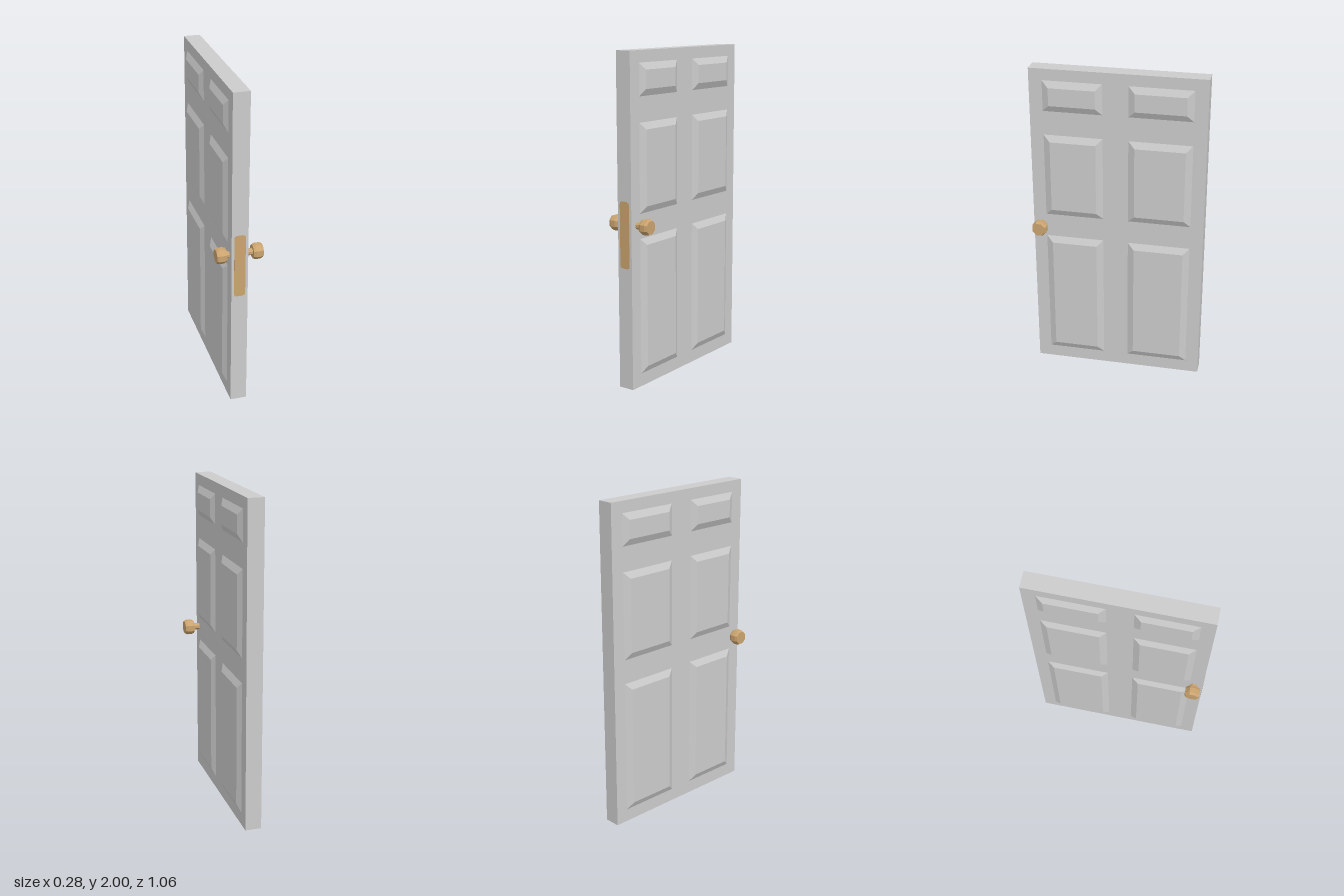
import * as THREE from 'three';

const SLAB = { x0: -0.06, x1: 0.04, height: 2, depth: 1.06 };
const KNOB_Y = 0.995, KNOB_Z = 0.475;

// Raised panel: a thin box whose outer face (towards side * x) is pulled in to form bevels
function panelGeometry(height, depth, side) {
  const thick = 0.02, bevel = 0.04;
  const geo = new THREE.BoxGeometry(thick, height, depth);
  const p = geo.attributes.position;
  for (let i = 0; i < p.count; i++) {
    if (p.getX(i) * side > 0) {
      p.setY(i, p.getY(i) - Math.sign(p.getY(i)) * bevel);
      p.setZ(i, p.getZ(i) - Math.sign(p.getZ(i)) * bevel);
    }
  }
  geo.computeVertexNormals();
  return geo;
}

// Eight-sided knob and stem turned about the x axis
function knobGeometry(side) {
  const profile = [
    [0.021, 0.03], [0.021, 0.08], [0.042, 0.08], [0.0485, 0.095],
    [0.0485, 0.125], [0.042, 0.14], [0, 0.14],
  ].map(([r, d]) => new THREE.Vector2(r, d));
  const geo = new THREE.LatheGeometry(profile, 8);
  geo.rotateY(Math.PI / 8);
  geo.rotateZ(-side * Math.PI / 2);
  return geo;
}

// Latch plate outline with rounded corners
function plateGeometry(w, h, r) {
  const s = new THREE.Shape();
  const x = w / 2, y = h / 2;
  s.moveTo(-x + r, -y);
  s.lineTo(x - r, -y);
  s.quadraticCurveTo(x, -y, x, -y + r);
  s.lineTo(x, y - r);
  s.quadraticCurveTo(x, y, x - r, y);
  s.lineTo(-x + r, y);
  s.quadraticCurveTo(-x, y, -x, y - r);
  s.lineTo(-x, -y + r);
  s.quadraticCurveTo(-x, -y, -x + r, -y);
  return new THREE.ExtrudeGeometry(s, { depth: 0.003, bevelEnabled: false, curveSegments: 4 });
}

export function createModel() {
  const door = new THREE.Group();
  door.name = 'door';
  const paint = new THREE.MeshStandardMaterial({ color: 0xcccccc, flatShading: true });
  paint.name = 'greyPaint';
  const brass = new THREE.MeshStandardMaterial({ color: 0xcba46f, flatShading: true });
  brass.name = 'brass';

  const add = (name, geo, mat, x, y, z) => {
    const mesh = new THREE.Mesh(geo, mat);
    mesh.name = name;
    mesh.position.set(x, y, z);
    door.add(mesh);
  };

  // Slab
  const midX = (SLAB.x0 + SLAB.x1) / 2;
  add('slab', new THREE.BoxGeometry(SLAB.x1 - SLAB.x0, SLAB.height, SLAB.depth), paint, midX, 1, 0);

  // Six raised panels and a knob on each face
  const rows = [[0.08, 0.91], [1.06, 1.59], [1.74, 1.93]];
  const columns = [[0.09, 0.45], [-0.45, -0.065]];
  for (const side of [1, -1]) {
    const faceX = side > 0 ? SLAB.x1 : SLAB.x0;
    for (const [y0, y1] of rows) {
      for (const [z0, z1] of columns) {
        add('raisedPanel', panelGeometry(y1 - y0, z1 - z0, side), paint,
          faceX + side * 0.01, (y0 + y1) / 2, (z0 + z1) / 2);
      }
    }
    add(side > 0 ? 'leftKnob' : 'rightKnob', knobGeometry(side), brass, 0, KNOB_Y, KNOB_Z);
  }

  // Latch plate on the front edge
  add('latchPlate', plateGeometry(0.068, 0.4, 0.02), brass, midX, 0.94, SLAB.depth / 2 - 0.001);

  return door;
}
